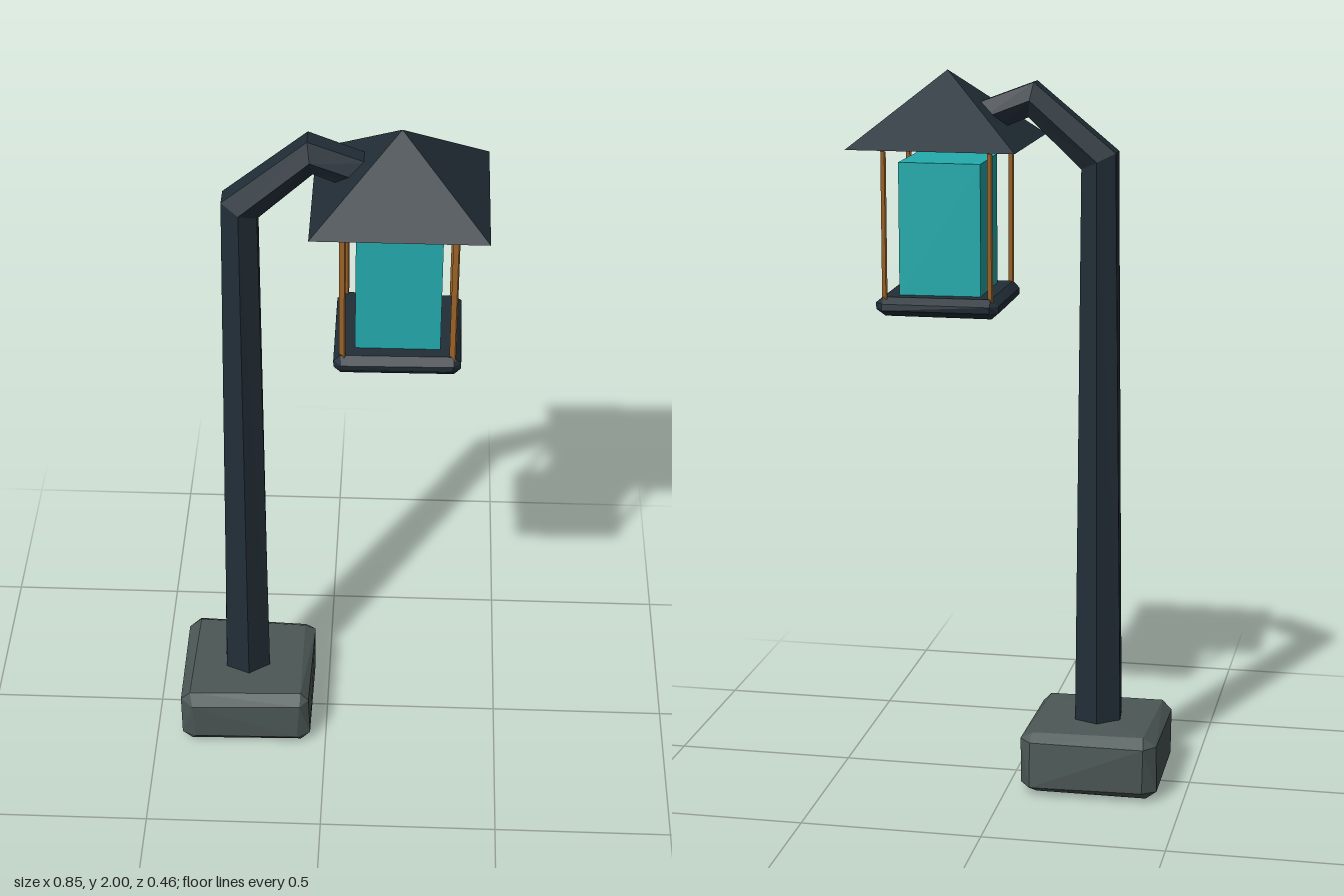
import * as THREE from 'three';
import { ConvexGeometry } from 'three/addons/geometries/ConvexGeometry.js';

const LANTERN_X = 0.19;

function material(name, color) {
  const m = new THREE.MeshStandardMaterial({ color, flatShading: true });
  m.name = name;
  return m;
}

// Box with bevelled edges; wobble nudges the corners for a hand-hewn look
function bevelledBlock(w, h, d, bevel, wobble = 0) {
  let seed = 11;
  const jitter = () => {
    seed = (seed * 16807) % 2147483647;
    return (seed / 2147483647 - 0.5) * 2 * wobble;
  };
  const half = [w / 2, h / 2, d / 2];
  const points = [];
  for (const sx of [-1, 1]) for (const sy of [-1, 1]) for (const sz of [-1, 1])
    for (let full = 0; full < 3; full++) {
      const c = [sx, sy, sz].map((s, i) => s * (half[i] - (i === full ? 0 : bevel)) + jitter());
      c[1] = THREE.MathUtils.clamp(c[1], -half[1], half[1]);
      points.push(new THREE.Vector3(...c));
    }
  return new ConvexGeometry(points);
}

// Six-sided tube through rings of [x, y, outwardX, outwardY, radius, twist]
function hexTube(rings) {
  const N = 6, pos = [], idx = [];
  for (const [x, y, ox, oy, r, twist] of rings) {
    for (let i = 0; i < N; i++) {
      const a = ((i + 0.5) / N) * Math.PI * 2 + twist;
      pos.push(x + ox * r * Math.cos(a), y + oy * r * Math.cos(a), r * Math.sin(a));
    }
  }
  const last = (rings.length - 1) * N;
  for (let k = 0; k < last; k += N)
    for (let i = 0; i < N; i++) {
      const a = k + i, b = k + ((i + 1) % N);
      idx.push(a, a + N, b, b, a + N, b + N);
    }
  // End caps
  for (let i = 1; i < N - 1; i++) {
    idx.push(0, i, i + 1, last, last + i + 1, last + i);
  }
  const g = new THREE.BufferGeometry();
  g.setAttribute('position', new THREE.Float32BufferAttribute(pos, 3));
  g.setIndex(idx);
  const flat = g.toNonIndexed();
  flat.computeVertexNormals();
  return flat;
}

export function createModel() {
  const group = new THREE.Group();
  const iron = material('dark iron', 0x222e37);
  const stone = material('grey stone', 0x4c5856);
  const glass = material('teal glass', 0x24acae);
  const wood = material('brown wood', 0x9a6228);
  // The pole's outward side is -x, so its rings run opposite to the default winding
  iron.side = THREE.DoubleSide;

  const add = (name, geometry, mat, x = 0, y = 0, z = 0, parent = group) => {
    const mesh = new THREE.Mesh(geometry, mat);
    mesh.name = name;
    mesh.position.set(x, y, z);
    parent.add(mesh);
    return mesh;
  };

  // Rough stone footing
  add('base', bevelledBlock(0.37, 0.185, 0.375, 0.03, 0.008), stone, -0.235, 0.0925, 0);

  // Tapered pole bending over into the arm
  add('poleAndArm', hexTube([
    [-0.237, 0.15, -1, 0, 0.074, 0.1],
    [-0.23, 1.765, -0.9, 0.43, 0.06, 0],
    [-0.045, 1.926, -0.15, 0.99, 0.055, 0],
    [0.09, 1.873, 0.37, 0.93, 0.05, 0],
  ]), iron);

  // Lantern hanging under a pyramid roof
  const lantern = new THREE.Group();
  lantern.name = 'lantern';
  lantern.position.x = LANTERN_X;
  group.add(lantern);

  const roof = new THREE.ConeGeometry(0.23 * Math.SQRT2, 0.195, 4, 1, false, Math.PI / 4);
  add('roof', roof, iron, 0, 1.9025, 0, lantern);
  add('glassBox', new THREE.BoxGeometry(0.226, 0.365, 0.226), glass, 0, 1.5775, 0, lantern);
  add('tray', bevelledBlock(0.335, 0.056, 0.335, 0.02, 0.003), iron, 0, 1.372, 0, lantern);

  // Thin slats at the four corners, all facing the same diagonal
  for (const sx of [-1, 1]) for (const sz of [-1, 1]) {
    const slat = add('cornerSlat', new THREE.BoxGeometry(0.02, 0.41, 0.005), wood,
      sx * 0.146, 1.588, sz * 0.146, lantern);
    slat.rotation.y = -Math.PI / 4;
  }
  return group;
}
